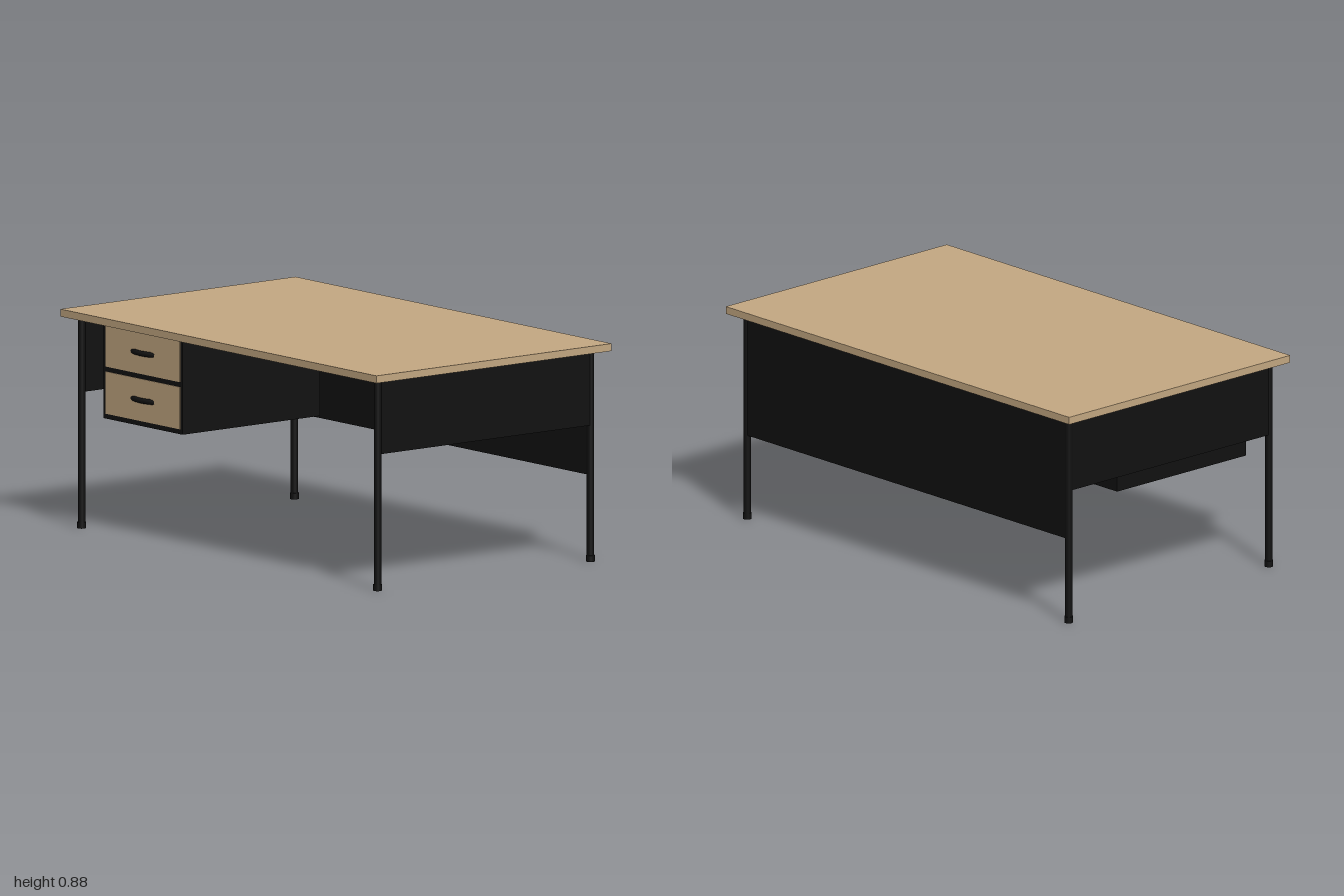
import * as THREE from 'three';

export function createModel() {
  const desk = new THREE.Group();
  desk.name = 'desk';

  const wood = new THREE.MeshStandardMaterial({ color: 0xc4a882 });
  wood.name = 'light wood';
  const black = new THREE.MeshStandardMaterial({ color: 0x111111 });
  black.name = 'black metal';

  function add(name, geometry, material, x, y, z, parent = desk) {
    const mesh = new THREE.Mesh(geometry, material);
    mesh.name = name;
    mesh.position.set(x, y, z);
    parent.add(mesh);
    return mesh;
  }
  const box = (w, h, d) => new THREE.BoxGeometry(w, h, d);

  const topBottom = 0.85;
  const legX = 0.543;
  const legZ = 0.936;

  // Table top
  add('tableTop', box(1.2, 0.03, 2), wood, 0, topBottom + 0.015, 0);

  // Round legs with slightly wider feet
  const legGeometry = new THREE.CylinderGeometry(0.015, 0.015, topBottom, 24);
  const footGeometry = new THREE.CylinderGeometry(0.0175, 0.0175, 0.025, 24);
  for (const sx of [-1, 1]) {
    for (const sz of [-1, 1]) {
      add('leg', legGeometry, black, sx * legX, topBottom / 2, sz * legZ);
      add('foot', footGeometry, black, sx * legX, 0.0125, sz * legZ);
    }
  }

  // Panels between the legs: two short ends and one deep long side
  for (const sz of [-1, 1]) {
    add('endPanel', box(legX * 2, 0.3, 0.02), black, 0, 0.7, sz * legZ);
  }
  add('modestyPanel', box(0.02, 0.5, legZ * 2), black, legX, 0.6, 0);

  // Drawer cabinet hung under the top, opening towards -x
  const cabinet = new THREE.Group();
  cabinet.name = 'drawerCabinet';
  desk.add(cabinet);
  const cabinetZ = -0.6;
  add('cabinetBody', box(0.7, 0.4, 0.5), black, -0.15, 0.65, cabinetZ, cabinet);

  // Bowed handle, ends sunk into the drawer front
  const handleCurve = new THREE.QuadraticBezierCurve3(
    new THREE.Vector3(0.006, 0, -0.07),
    new THREE.Vector3(-0.026, 0, 0),
    new THREE.Vector3(0.006, 0, 0.07)
  );
  const handleGeometry = new THREE.TubeGeometry(handleCurve, 20, 0.011, 10);
  for (const y of [0.555, 0.745]) {
    add('drawerFront', box(0.006, 0.17, 0.47), wood, -0.5, y, cabinetZ, cabinet);
    add('drawerHandle', handleGeometry, black, -0.5, y, cabinetZ, cabinet);
  }

  return desk;
}
